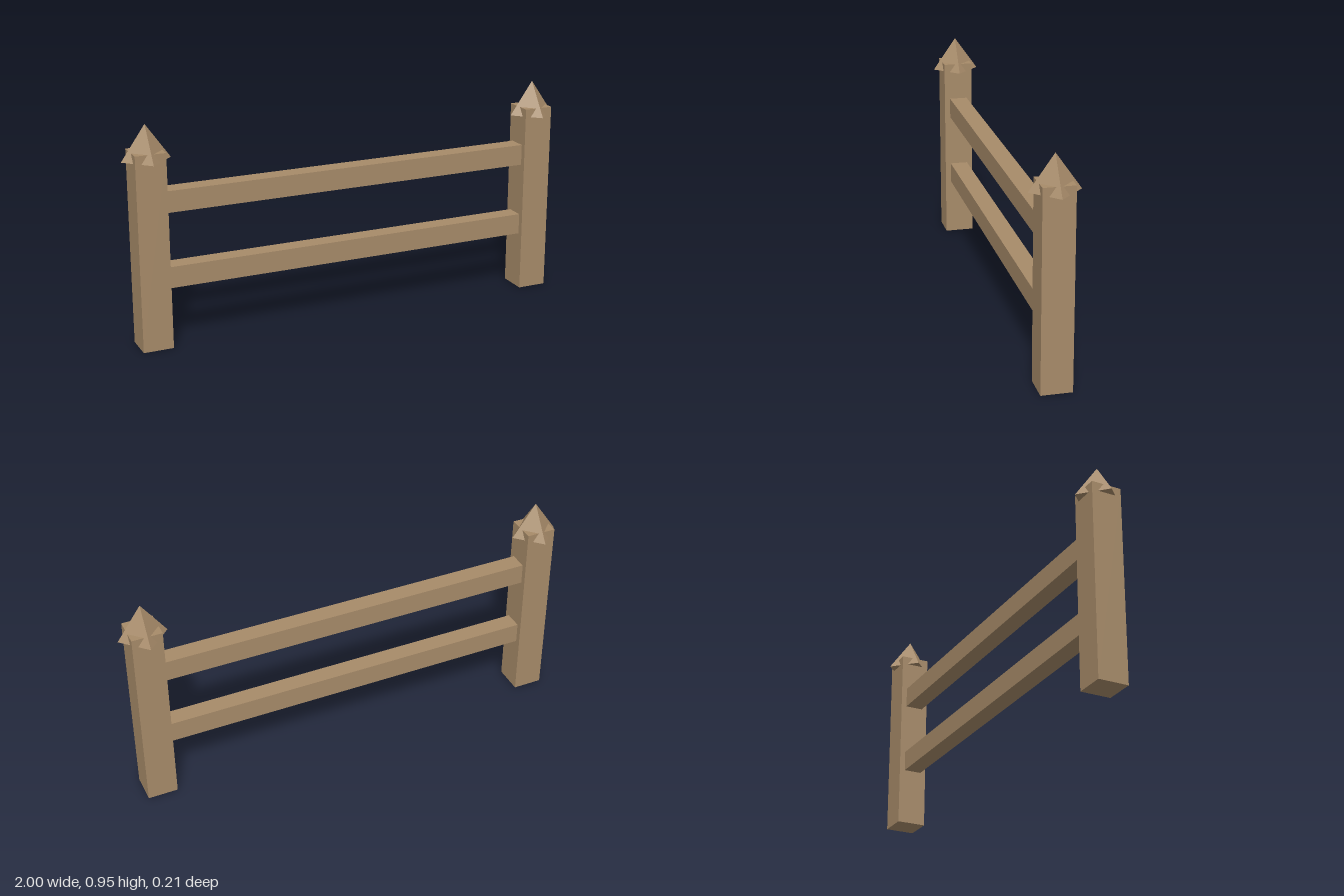
import * as THREE from 'three';

export function createModel() {
  const fence = new THREE.Group();
  fence.name = 'fence';
  const wood = new THREE.MeshStandardMaterial({ color: 0xa78b69, flatShading: true });
  wood.name = 'wood';

  const add = (name, geometry, x, y) => {
    const mesh = new THREE.Mesh(geometry, wood);
    mesh.name = name;
    mesh.position.set(x, y, 0);
    fence.add(mesh);
  };

  // Square posts, each with a pointed cap turned 45 degrees to the post
  const postHeight = 0.842, capHeight = 0.148, capBase = 0.805;
  for (const [side, x] of [['left', 0.896], ['right', -0.896]]) {
    add(side + 'Post', new THREE.BoxGeometry(0.13, postHeight, 0.13), x, postHeight / 2);
    add(side + 'PostCap', new THREE.ConeGeometry(0.104, capHeight, 4), x, capBase + capHeight / 2);
  }

  // Horizontal rails running into the posts
  for (const [name, y] of [['lowerRail', 0.302], ['upperRail', 0.628]]) {
    add(name, new THREE.BoxGeometry(1.7, 0.092, 0.08), 0, y);
  }
  return fence;
}
